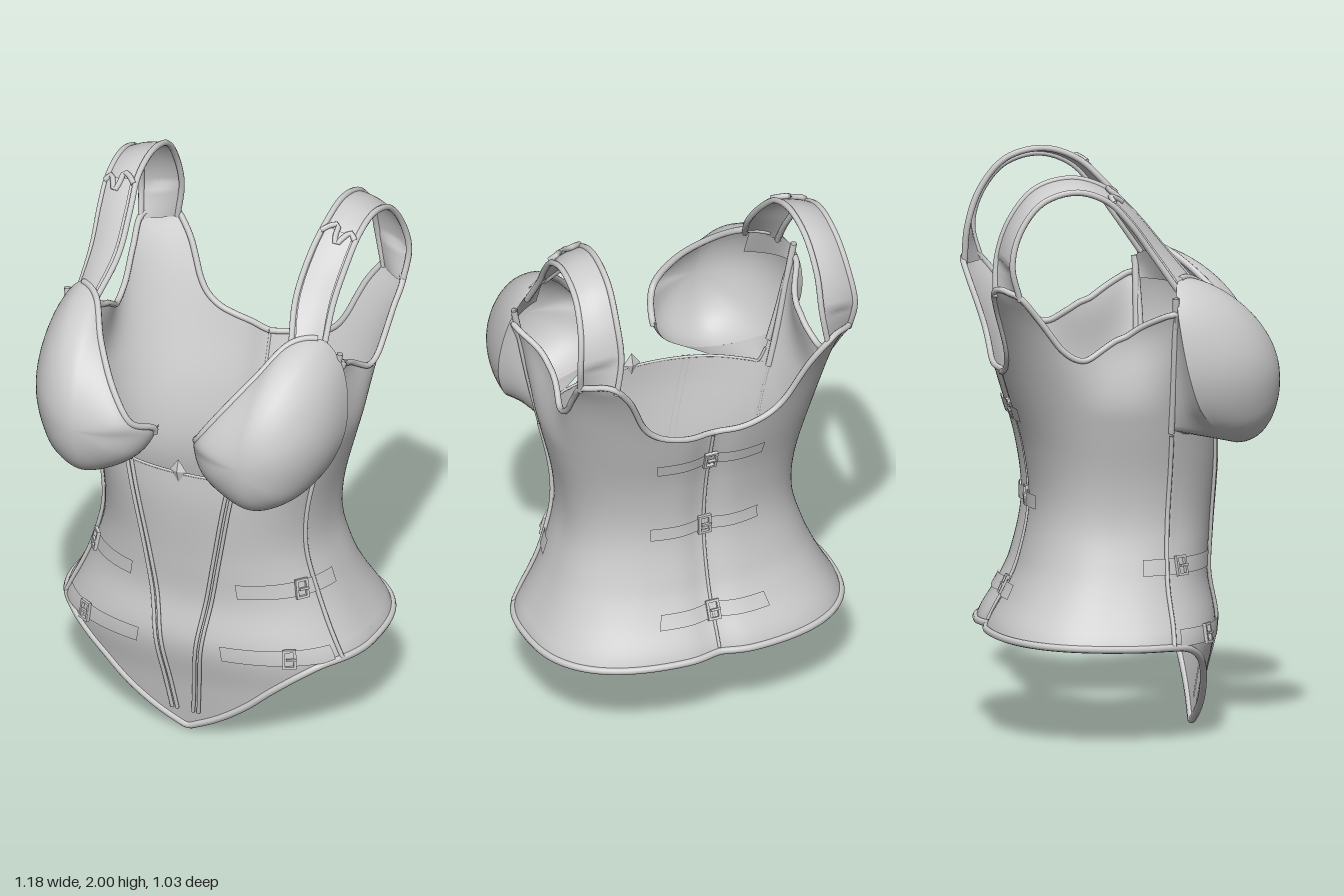
import * as THREE from 'three';
import { mergeVertices } from 'three/addons/utils/BufferGeometryUtils.js';

const { degToRad, radToDeg, smoothstep, clamp } = THREE.MathUtils;
const V = (x, y, z) => new THREE.Vector3(x, y, z);

// Smooth interpolation through [key, value] pairs
function profile(keys) {
  const slope = i => {
    const a = keys[Math.max(i - 1, 0)], b = keys[Math.min(i + 1, keys.length - 1)];
    return (b[1] - a[1]) / (b[0] - a[0]);
  };
  return x => {
    if (x <= keys[0][0]) return keys[0][1];
    const i = keys.findIndex(k => k[0] >= x) - 1;
    if (i < 0) return keys[keys.length - 1][1];
    const [x0, y0] = keys[i], [x1, y1] = keys[i + 1], h = x1 - x0, t = (x - x0) / h;
    const s = t * t * (3 - 2 * t);
    return y0 + (y1 - y0) * s + h * t * (1 - t) * ((1 - t) * slope(i) - t * slope(i + 1));
  };
}

// Body sections by height, edge heights by angle from the front (degrees)
const halfWidth = profile([[0, .56], [.2, .57], [.35, .575], [.42, .54], [.5, .5], [.6, .46], [.75, .42], [.9, .425],
  [1.1, .47], [1.3, .52], [1.5, .57], [1.6, .62]]);
const frontZ = profile([[0, .25], [.2, .288], [.38, .325], [.55, .3], [.7, .307], [.95, .328], [1.1, .325], [1.6, .3]]);
const backZ = profile([[0, -.49], [.36, -.49], [.5, -.42], [.6, -.378], [.8, -.34], [1, -.36], [1.2, -.415],
  [1.4, -.475], [1.6, -.555]]);
const frontRound = profile([[0, .85], [1, .85], [1.6, .69]]);
const backRound = profile([[.2, .73], [.42, .75], [.65, .83], [1, .85], [1.6, .69]]);
const hemY = profile([[0, .012], [10, .075], [20, .145], [32, .235], [45, .305], [58, .34], [90, .348], [180, .365]]);
const topY = profile([[0, 1.07], [30, 1.075], [58, 1.09], [61, 1.12], [66, 1.5], [69, 1.52], [75, 1.51], [85, 1.47],
  [95, 1.395], [104, 1.36], [114, 1.4], [122, 1.5], [129, 1.58], [134, 1.6], [147, 1.6], [151, 1.52], [155, 1.38],
  [160, 1.315], [168, 1.28], [180, 1.26]]);
const MID = -.06;

function skinPoint(deg, y) {
  const s = Math.sin(degToRad(deg)), c = Math.cos(degToRad(deg)), e = c > 0 ? frontRound(y) : backRound(y);
  // Hollow below the arm
  const hollow = .085 * smoothstep(y, 1.15, 1.48) * Math.exp(-(((Math.abs(deg) - 90) / 17) ** 2));
  const x = Math.sign(s) * (Math.abs(s) ** e * halfWidth(y) - hollow);
  const depth = c > 0 ? frontZ(y) - MID : MID - backZ(y);
  const spine = c < 0 ? .022 * Math.exp(-((x / .065) ** 2)) : 0;
  return V(x, y, MID + Math.sign(c) * Math.abs(c) ** e * depth + spine);
}
function skinNormal(deg, y) {
  const du = skinPoint(deg + 1, y).sub(skinPoint(deg - 1, y));
  const dv = skinPoint(deg, y + .01).sub(skinPoint(deg, y - .01));
  return du.cross(dv).normalize();
}
const onSkin = (deg, y, lift) => skinPoint(deg, y).addScaledVector(skinNormal(deg, y), lift);
// Angle from the centre line at which the body reaches a given x
const angleAt = (x, y, round = frontRound) =>
  radToDeg(Math.asin(Math.min(1, (x / halfWidth(y)) ** (1 / round(y)))));

// Surface from a rule of u and v, both 0 to 1
function sheet(fn, nu, nv) {
  const pos = [], idx = [];
  for (let j = 0; j <= nv; j++) for (let i = 0; i <= nu; i++) pos.push(...fn(i / nu, j / nv).toArray());
  for (let j = 0; j < nv; j++) for (let i = 0; i < nu; i++) {
    const a = j * (nu + 1) + i, b = a + nu + 1;
    idx.push(a, a + 1, b, a + 1, b + 1, b);
  }
  let g = new THREE.BufferGeometry();
  g.setAttribute('position', new THREE.Float32BufferAttribute(pos, 3));
  g.setIndex(idx);
  g = mergeVertices(g, 1e-5);
  g.computeVertexNormals();
  return g;
}

export function createModel() {
  const model = new THREE.Group();
  model.name = 'corset';
  const cloth = new THREE.MeshStandardMaterial({ color: 0xcccccc, side: THREE.DoubleSide });
  cloth.name = 'light grey';
  const add = (name, geometry) => {
    const m = new THREE.Mesh(geometry, cloth);
    m.name = name;
    model.add(m);
    return m;
  };
  const piping = (name, pts, r, closed = false) =>
    add(name, new THREE.TubeGeometry(new THREE.CatmullRomCurve3(pts, closed), pts.length * 2, r, 8, closed));
  const range = (n, fn) => Array.from({ length: n }, (_, i) => fn(i));

  // Bodice shell with bound hem and neckline
  add('bodice', sheet((u, v) => {
    const a = u * 360 - 180, lo = hemY(Math.abs(a)), hi = topY(Math.abs(a));
    return skinPoint(a, lo + (hi - lo) * v);
  }, 180, 44));
  piping('hemBinding', range(120, i => skinPoint(i * 3 - 180, hemY(Math.abs(i * 3 - 180)))), .013, true);
  for (const s of [1, -1])
    piping('topBinding', range(75, i => skinPoint(s * (62 + i * 118 / 74), topY(62 + i * 118 / 74))), .011);
  piping('frontEdge', range(42, i => skinPoint(i * 3 - 61.5, topY(Math.abs(i * 3 - 61.5)))), .005);

  // Buckle frame with a prong, laid on the body
  const frame = new THREE.Shape([[-.024, -.036], [.024, -.036], [.024, .036], [-.024, .036]].map(p => new THREE.Vector2(...p)));
  frame.holes.push(new THREE.Path([[-.015, -.027], [-.015, .027], [.015, .027], [.015, -.027]].map(p => new THREE.Vector2(...p))));
  const frameGeo = new THREE.ExtrudeGeometry(frame, { depth: .012, bevelEnabled: false });
  const prongGeo = new THREE.BoxGeometry(.036, .008, .01).translate(.006, 0, .012);
  const buckle = (deg, y) => {
    for (const [name, geo] of [['buckleFrame', frameGeo], ['bucklePin', prongGeo]]) {
      const m = add(name, geo);
      m.position.copy(onSkin(deg, y, .008));
      m.lookAt(onSkin(deg, y, 1));
    }
  };
  const band = (name, a0, a1, y, h) =>
    add(name, sheet((u, v) => onSkin(a0 + (a1 - a0) * u, y + (v - .5) * h, .008), 24, 2));

  // Back closure
  piping('backSeam', range(16, i => onSkin(180, .38 + i * .058, .004)), .006);
  for (const y of [.5, .82, 1.13]) {
    const a = angleAt(.2, y, backRound);
    band('backBuckleStrap', 180 - a, 180 + a, y, .05);
    buckle(180, y);
  }

  // Front centre ornament
  add('frontDiamond', new THREE.OctahedronGeometry(1).scale(.032, .045, .014)).position.set(0, 1.08, .328);

  for (const s of [1, -1]) {
    const side = s > 0 ? 'left' : 'right';
    const flip = p => V(p.x * s, p.y, p.z);

    // Boning seams
    const seamX = profile([[.08, .04], [.4, .08], [.65, .12], [.9, .165], [1.08, .2]]);
    for (const d of [-.01, .01])
      piping(side + 'FrontSeam', range(20, i => {
        const y = .085 + i * .052;
        return onSkin(s * angleAt(seamX(y) + d, y), y, .006);
      }), .007);
    piping(side + 'SideSeam', range(13, i => onSkin(s * 66, .35 + i * .061, .006)), .008);

    // Hip straps and buckles
    for (const [y, x0, a1] of [[.615, .2, 80], [.375, .16, 62]]) {
      band(side + 'HipStrap', s * angleAt(x0, y), s * a1, y, .056);
      buckle(s * angleAt(.39, y), y);
    }

    // Cup: dome swept from its outline to the crown
    const rim = new THREE.CatmullRomCurve3([[.385, 1.63, .2], [.3, 1.53, .33], [.2, 1.4, .43], [.13, 1.3, .445],
      [.085, 1.23, .34], [.12, 1.15, .35], [.2, 1.085, .36], [.33, 1.04, .37], [.45, 1.08, .31], [.53, 1.17, .22],
      [.572, 1.3, .17], [.566, 1.45, .14], [.53, 1.56, .13], [.47, 1.628, .14]].map(p => V(...p)), true);
    const crown = V(.32, 1.26, .52);
    add(side + 'Cup', sheet((u, v) => {
      const p = rim.getPoint(u % 1), dx = p.x - crown.x, dy = p.y - crown.y;
      const upward = Math.max(0, (-.3 * dx + .95 * dy) / Math.hypot(dx, dy));
      const r = Math.sin(v * Math.PI / 2);
      const drop = Math.max(0, 1 - r * r) ** (.45 + .35 * upward * upward);
      return flip(V(crown.x + dx * r, crown.y + dy * r, p.z + (crown.z - p.z) * drop));
    }, 84, 20));
    // Flange joining the cup to the bodice
    add(side + 'CupFlange', sheet((u, v) => {
      const p = rim.getPoint((4 + 9.9 * u) / 14);
      const y = clamp(p.y + .03, 1.075, 1.5);
      const a = Math.min(66, angleAt(p.x, y));
      const free = p.clone().add(V(0, .01, -.03));
      const target = free.lerp(skinPoint(a, y), smoothstep(p.x, .1, .26));
      return flip(p.lerp(target, v));
    }, 60, 3));
    piping(side + 'CupNeckBinding', range(26, i => flip(rim.getPoint((i * .2 + 13.2) / 14 % 1))), .012);
    piping(side + 'CupSideBinding', range(12, i => flip(skinPoint(66, 1.09 + i * .04).lerp(V(.53, 1.58, .125), (i / 11) ** 2))), .012);

    // Shoulder strap between an outer and an inner edge, ending on the back panel
    const edge = (pts, deg) => new THREE.CatmullRomCurve3([...pts.map(p => V(...p)), onSkin(deg, 1.58, .004)]);
    const outer = edge([[.475, 1.6, .14], [.468, 1.73, .05], [.478, 1.84, -.03], [.486, 1.92, -.11],
      [.49, 1.955, -.22], [.495, 1.92, -.34], [.507, 1.82, -.42], [.52, 1.7, -.45]], 130);
    const inner = edge([[.38, 1.61, .21], [.345, 1.74, .1], [.35, 1.87, -.01], [.365, 1.95, -.1],
      [.37, 1.988, -.22], [.375, 1.955, -.35], [.38, 1.85, -.44], [.38, 1.72, -.485]], 147);
    const across = (t, v, lift = 0) => {
      const p = outer.getPoint(t).lerp(inner.getPoint(t), v);
      const n = inner.getPoint(t).sub(outer.getPoint(t)).cross(outer.getTangent(t)).normalize();
      if (n.y < 0) n.negate();
      return flip(p.addScaledVector(n, lift + .008 * Math.sin(Math.PI * v)));
    };
    add(side + 'ShoulderStrap', sheet((u, v) => across(u, v), 48, 6));
    for (const v of [0, 1]) piping(side + 'StrapBinding', range(30, i => across(i / 29, v)), .011);
    // Overlapping front tab with a hooked end
    add(side + 'StrapTab', sheet((u, v) => across(u * .36, .1 + .8 * v, .009), 20, 4));
    piping(side + 'StrapHook', [[.35, .02], [.37, .2], [.34, .35], [.31, .45], [.34, .56], [.38, .62], [.37, .8], [.34, 1]]
      .map(([t, v]) => across(t, v, .01)), .01);
  }
  return model;
}
